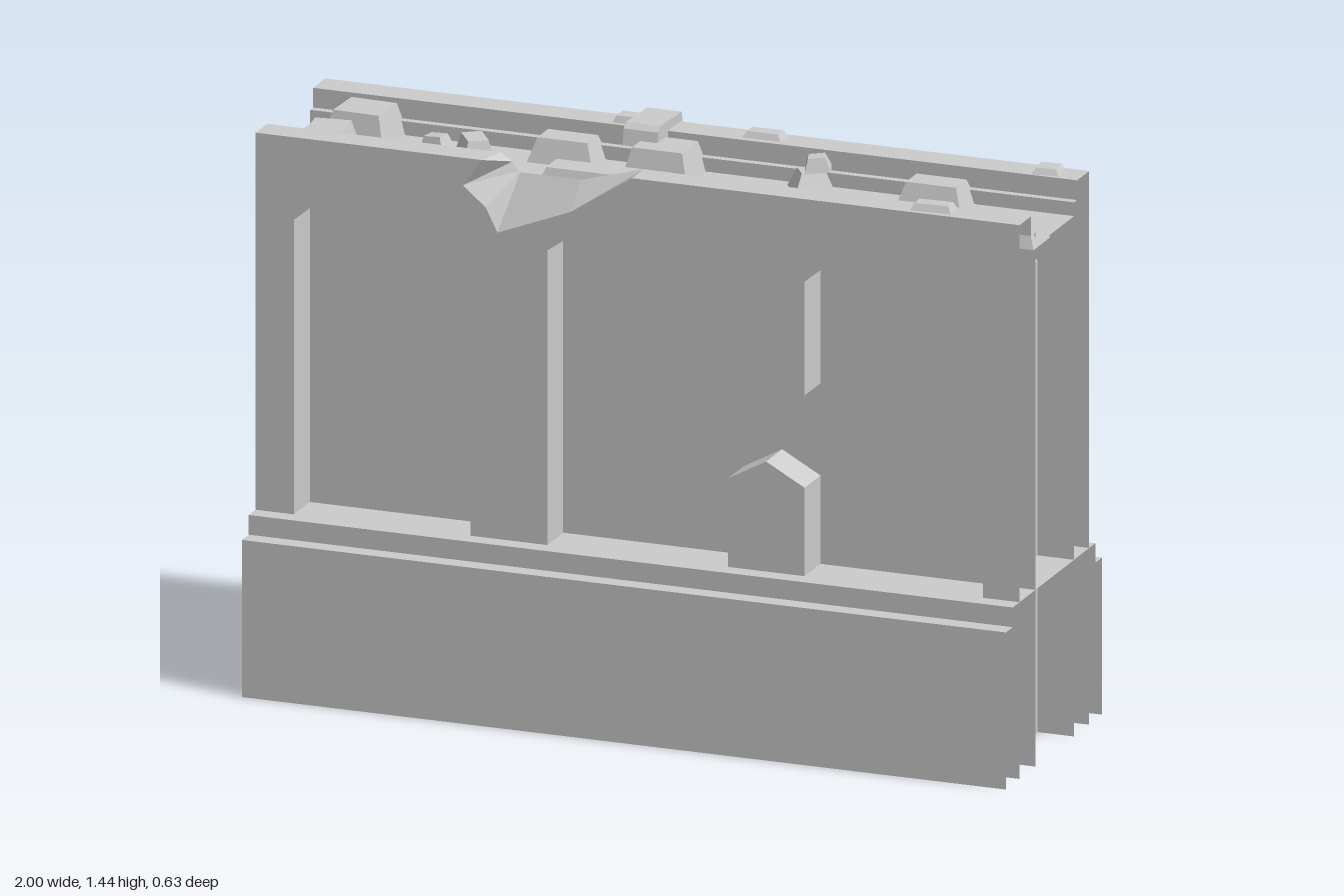
import * as THREE from 'three';

const X0 = -1, X1 = 0.99;          // wall ends
const ZF = 0.225, ZB = -0.235;     // outer wall faces

export function createModel() {
  const model = new THREE.Group();
  const mat = new THREE.MeshStandardMaterial({ color: 0xcccccc, flatShading: true, side: THREE.DoubleSide });

  const add = (name, geo, parent = model) => {
    const m = new THREE.Mesh(geo, mat);
    m.name = name;
    parent.add(m);
    return m;
  };

  // Surface joining two 3D polylines of equal length
  const loft = (a, b) => {
    const p = [];
    for (let i = 0; i + 1 < a.length; i++) {
      p.push(...a[i], ...b[i], ...b[i + 1], ...a[i], ...b[i + 1], ...a[i + 1]);
    }
    const g = new THREE.BufferGeometry();
    g.setAttribute('position', new THREE.Float32BufferAttribute(p, 3));
    g.computeVertexNormals();
    return g;
  };
  // Profile of [z, y] swept along x; outline of [x, y] swept along z
  const alongX = (pts, x0 = X0, x1 = X1) =>
    loft(pts.map(([z, y]) => [x0, y, z]), pts.map(([z, y]) => [x1, y, z]));
  const alongZ = (pts, z0 = ZB, z1 = ZF) =>
    loft(pts.map(([x, y]) => [x, y, z0]), pts.map(([x, y]) => [x, y, z1]));
  // Flat upright sheet facing front (1) or back (-1)
  const sheet = (pts, z, face = 1) => {
    const g = new THREE.ShapeGeometry(new THREE.Shape(pts.map(([x, y]) => new THREE.Vector2(x * face, y))));
    if (face < 0) g.rotateY(Math.PI);
    return g.translate(0, 0, z);
  };

  // Outlines of the arched recesses
  const leftArch = [[-0.9, 0], [-0.9, 1.2], [-0.755, 1.32], [-0.58, 1.32], [-0.44, 1.2], [-0.44, 0]];
  const doubleArch = [
    [-0.24, 0], [-0.24, 1.2], [-0.07, 1.32], [0.075, 1.32], [0.23, 1.2],
    [0.23, 0.91], [0.28, 0.892], [0.33, 0.887], [0.38, 0.892], [0.43, 0.91],
    [0.43, 1.2], [0.575, 1.32], [0.75, 1.32], [0.895, 1.2], [0.895, 0],
  ];
  const stub = [[0.23, 0], [0.23, 0.675], [0.33, 0.73], [0.43, 0.675], [0.43, 0]];

  // Broken notch in the front parapet: outer and inner outlines
  const chipOuter = [[-0.41, 1.41], [-0.46, 1.34], [-0.4, 1.29], [-0.37, 1.23], [-0.18, 1.305], [-0.02, 1.41]];
  const chipInner = [[-0.39, 1.41], [-0.36, 1.39], [-0.345, 1.367], [-0.34, 1.365], [-0.18, 1.365], [-0.02, 1.41]];

  // Wall faces and the recessed panels behind them
  const base = [[X0, 0], ...leftArch, ...doubleArch, [X1, 0], [X1, 1.41]];
  add('frontWall', sheet([...base, ...[...chipOuter].reverse(), [X0, 1.41]], ZF));
  add('backWall', sheet([...base, [X0, 1.41]], ZB, -1));
  add('frontStub', sheet(stub, ZF));
  add('backStub', sheet(stub, ZB, -1));
  const panel = [[X0, 0], [X1, 0], [X1, 1.325], [X0, 1.325]];
  add('frontPanel', sheet(panel, 0.12));
  add('backPanel', sheet(panel, -0.135, -1));

  // Jambs and soffits run through the wall
  add('leftArchReveal', alongZ(leftArch));
  add('doubleArchReveal', alongZ(doubleArch));
  add('stubReveal', alongZ(stub));

  // Stepped plinth
  add('plinth', alongX([[0.315, 0], [0.315, 0.4], [0.27, 0.4], [0.27, 0.45],
    [-0.275, 0.45], [-0.275, 0.4], [-0.32, 0.4], [-0.32, 0]]));

  // Walkway, with the back parapet
  add('walkway', alongX([[0.15, 1.36], [0.12, 1.36], [0.12, 1.325], [-0.135, 1.325],
    [-0.135, 1.36], [-0.155, 1.36], [-0.155, 1.41], [ZB, 1.41]]));

  // Front parapet, interrupted by the broken notch
  const topLeft = [[X0, 1.41, ZF], [-0.41, 1.41, ZF]];
  add('frontParapetTop', loft(topLeft, [[X0, 1.41, 0.15], [-0.39, 1.41, 0.15]]));
  add('frontParapetTop', alongX([[ZF, 1.41], [0.15, 1.41]], -0.02, X1));
  add('frontParapetInside', sheet([[X0, 1.36], [X1, 1.36], [X1, 1.41],
    ...[...chipInner].reverse(), [X0, 1.41]], 0.15, -1));
  add('brokenNotch', loft(chipOuter.map(([x, y]) => [x, y, ZF]), chipInner.map(([x, y]) => [x, y, 0.15])));

  // Rubble: tapered stone blocks
  const rubble = new THREE.Group();
  rubble.name = 'rubble';
  model.add(rubble);
  const stone = (x, z, w, d, y, h, turn = 0, inset = 0.02, tilt = 0) => {
    const g = new THREE.BoxGeometry(w, h, d).translate(0, h / 2, 0);
    const p = g.attributes.position;
    for (let i = 0; i < p.count; i++) {
      if (p.getY(i) < h / 2) continue;
      p.setX(i, p.getX(i) - Math.sign(p.getX(i)) * inset);
      p.setZ(i, p.getZ(i) - Math.sign(p.getZ(i)) * inset);
    }
    g.computeVertexNormals();
    const m = add('stone', g, rubble);
    m.position.set(x, y, z);
    m.rotation.set(0, turn, tilt);
  };
  const F = 1.325, P = 1.405;
  [
    // along the back parapet
    [-0.835, -0.08, 0.16, 0.15, F, 0.08, -0.04],
    [-0.315, -0.1, 0.17, 0.11, F, 0.06],
    [-0.055, -0.083, 0.17, 0.145, F, 0.075],
    [0.645, -0.1, 0.17, 0.11, F, 0.06],
    [0.32, -0.1, 0.1, 0.09, F, 0.05, 0.6],
    [0.335, -0.105, 0.065, 0.065, 1.375, 0.035, 0.35, 0.012, 0.1],
    // along the front parapet
    [-0.87, 0.075, 0.13, 0.14, F, 0.075, 0.12],
    [-0.715, 0.115, 0.1, 0.07, F, 0.045, -0.2],
    [-0.59, 0.1, 0.13, 0.1, F, 0.045],
    [-0.59, 0.065, 0.07, 0.06, 1.365, 0.04, -0.2, 0.012, 0.1],
    [-0.13, 0.097, 0.34, 0.11, F, 0.055],
    [0.14, 0.105, 0.085, 0.09, F, 0.05],
    [0.64, 0.115, 0.16, 0.07, F, 0.05],
    [0.83, 0.097, 0.335, 0.11, F, 0.055],
    // loose on the walkway
    [-0.535, -0.045, 0.075, 0.1, F, 0.05, 0.6, 0.012],
    // on the parapet tops
    [0.75, 0.183, 0.11, 0.06, P, 0.022, 0.05, 0.012],
    [0.16, -0.2, 0.105, 0.06, P, 0.02, 0, 0.012],
    [0.9, -0.195, 0.075, 0.07, P, 0.02, 0.1, 0.012],
    [-0.19, -0.195, 0.075, 0.06, P, 0.022, 0, 0.01],
    // stuck to the back wall
    [-0.275, -0.245, 0.05, 0.03, 1.19, 0.035, 0, 0.006],
  ].forEach((s) => stone(...s));

  // Broken slab draped over the back parapet
  const slab = new THREE.Shape([[-0.08, 1.385], [-0.09, 1.425], [-0.105, 1.438], [-0.245, 1.432],
    [-0.26, 1.36], [-0.273, 1.32], [-0.273, 1.22], [-0.265, 1.205], [-0.233, 1.2], [-0.23, 1.4]]
    .map(([z, y]) => new THREE.Vector2(-z, y)));
  const slabGeo = new THREE.ExtrudeGeometry(slab, { depth: 0.09, bevelEnabled: false });
  slabGeo.rotateY(Math.PI / 2).translate(-0.165, 0, 0);
  add('fallenSlab', slabGeo, rubble);

  return model;
}
